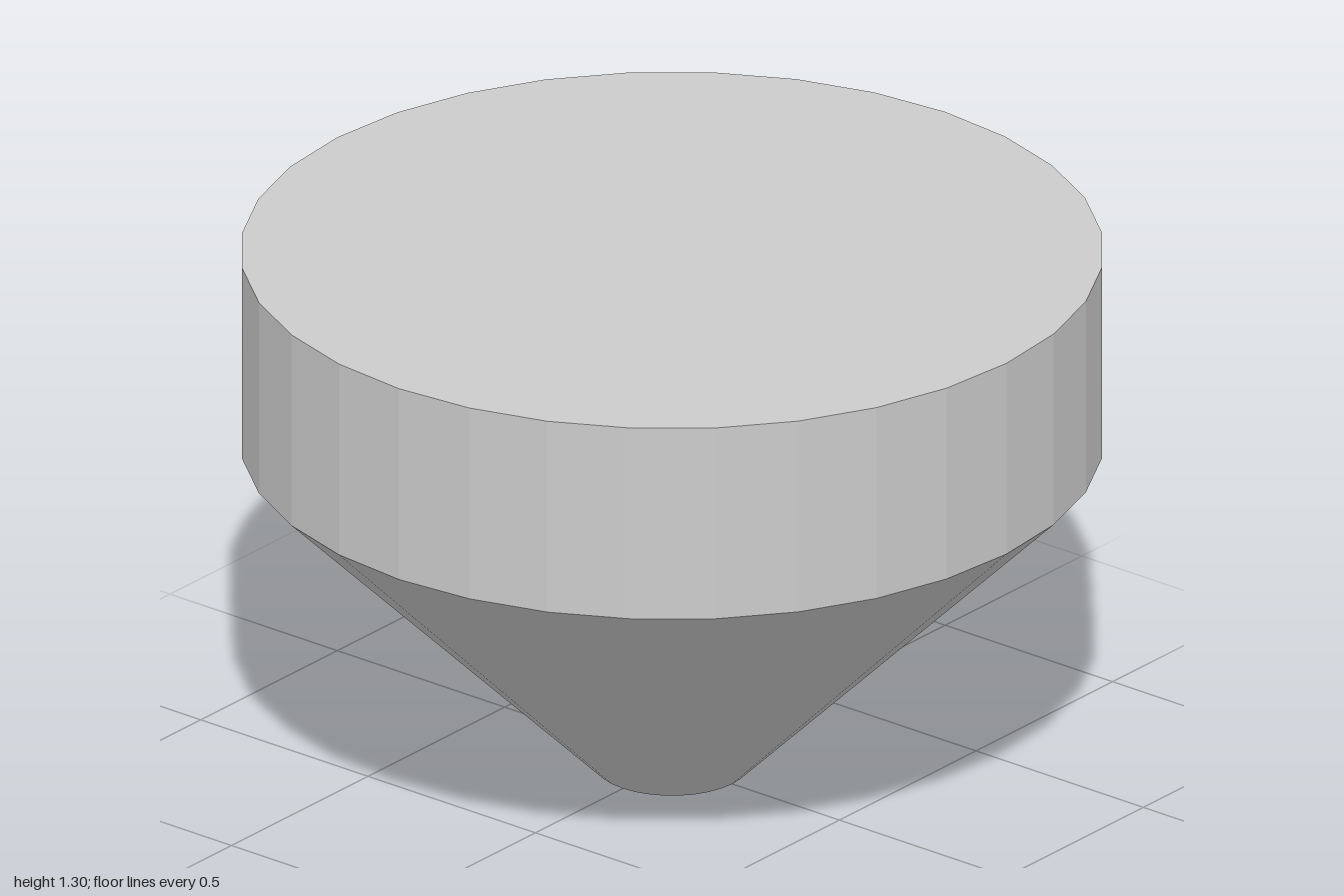
import * as THREE from 'three';

const SIDES = 32;
const TIP_RADIUS = 0.18;
const RIM_RADIUS = 1;
const SHOULDER_Y = 0.82;
const TOP_Y = 1.305;

export function createModel() {
  const group = new THREE.Group();
  group.name = 'hopper';
  const material = new THREE.MeshStandardMaterial({ color: 0xcccccc, flatShading: true });

  // Faceted turned part; profile points run so that the surface faces outward
  const addTurned = (name, profile) => {
    const points = profile.map(([r, y]) => new THREE.Vector2(r, y));
    const mesh = new THREE.Mesh(new THREE.LatheGeometry(points, SIDES), material);
    mesh.name = name;
    group.add(mesh);
  };

  // Tapered lower cone with its small flat base
  addTurned('cone', [[0, 0], [TIP_RADIUS, 0], [RIM_RADIUS, SHOULDER_Y]]);

  // Straight upper drum with its flat lid
  addTurned('drum', [[RIM_RADIUS, SHOULDER_Y], [RIM_RADIUS, TOP_Y], [0, TOP_Y]]);

  return group;
}
